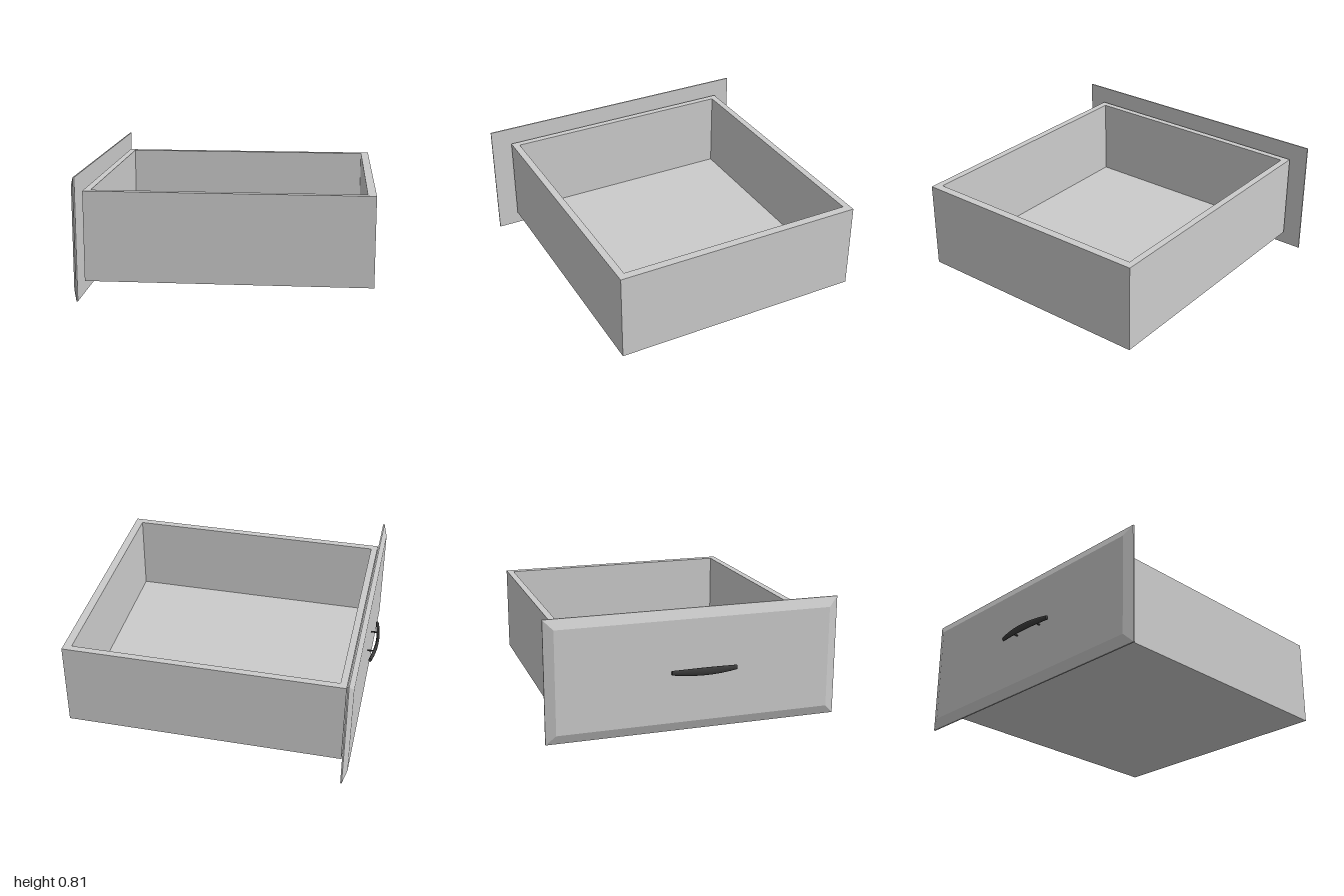
import * as THREE from 'three';

export function createModel() {
  const root = new THREE.Group();
  const grey = new THREE.MeshStandardMaterial({ color: 0xcccccc });
  const dark = new THREE.MeshStandardMaterial({ color: 0x3a3a3a });

  const add = (name, geometry, material, x = 0, y = 0, z = 0) => {
    const mesh = new THREE.Mesh(geometry, material);
    mesh.name = name;
    mesh.position.set(x, y, z);
    root.add(mesh);
    return mesh;
  };

  // Rectangle on the ground plane, z stored as negative shape y
  const rect = (Type, x0, x1, z0, z1) => new Type([
    new THREE.Vector2(x0, -z1), new THREE.Vector2(x1, -z1),
    new THREE.Vector2(x1, -z0), new THREE.Vector2(x0, -z0),
  ]);

  // Four drawer walls as one open frame
  const frame = rect(THREE.Shape, -0.88, 1, -0.865, 0.845);
  frame.holes.push(rect(THREE.Path, -0.835, 0.945, -0.82, 0.797));
  const walls = new THREE.ExtrudeGeometry(frame, { depth: 0.6, bevelEnabled: false });
  walls.rotateX(-Math.PI / 2);
  add('drawerWalls', walls, grey, 0, 0.097, 0);

  // Drawer floor inside the walls
  add('drawerFloor', new THREE.BoxGeometry(1.78, 0.05, 1.617), grey, 0.055, 0.122, -0.0115);

  // Front panel: full-size lip at the back, bevelled in towards the outer face
  const H = 0.812, W = 1.976, bevel = 0.064;
  let panel = new THREE.BoxGeometry(0.037, H, W, 2, 1, 1);
  const p = panel.attributes.position;
  for (let i = 0; i < p.count; i++) {
    const x = p.getX(i);
    if (x < -0.01) {
      p.setY(i, Math.sign(p.getY(i)) * (H / 2 - bevel));
      p.setZ(i, Math.sign(p.getZ(i)) * (W / 2 - bevel));
    } else if (x < 0.01) {
      p.setX(i, 0.009);
    }
  }
  panel = panel.toNonIndexed();
  panel.computeVertexNormals();
  add('frontPanel', panel, grey, -0.9145, H / 2, -0.002);

  // Bowed handle: a bar that curves outwards and swells at the middle
  const bar = new THREE.CylinderGeometry(1, 1, 1, 16, 20);
  const b = bar.attributes.position;
  for (let i = 0; i < b.count; i++) {
    const t = b.getY(i) * 2, mid = 1 - t * t;
    const x = b.getX(i) * 0.011 - 0.964 - 0.025 * mid;
    b.setXYZ(i, x, -b.getZ(i) * (0.015 + 0.011 * mid), t * 0.22);
  }
  bar.computeVertexNormals();
  add('handleBar', bar, dark, 0, 0.411, 0.042);

  // Thin posts joining handle and panel
  for (const z of [-0.07, 0.153]) {
    const post = add('handlePost', new THREE.CylinderGeometry(0.006, 0.006, 0.056, 12), dark, -0.957, 0.411, z);
    post.rotation.z = Math.PI / 2;
  }

  return root;
}
